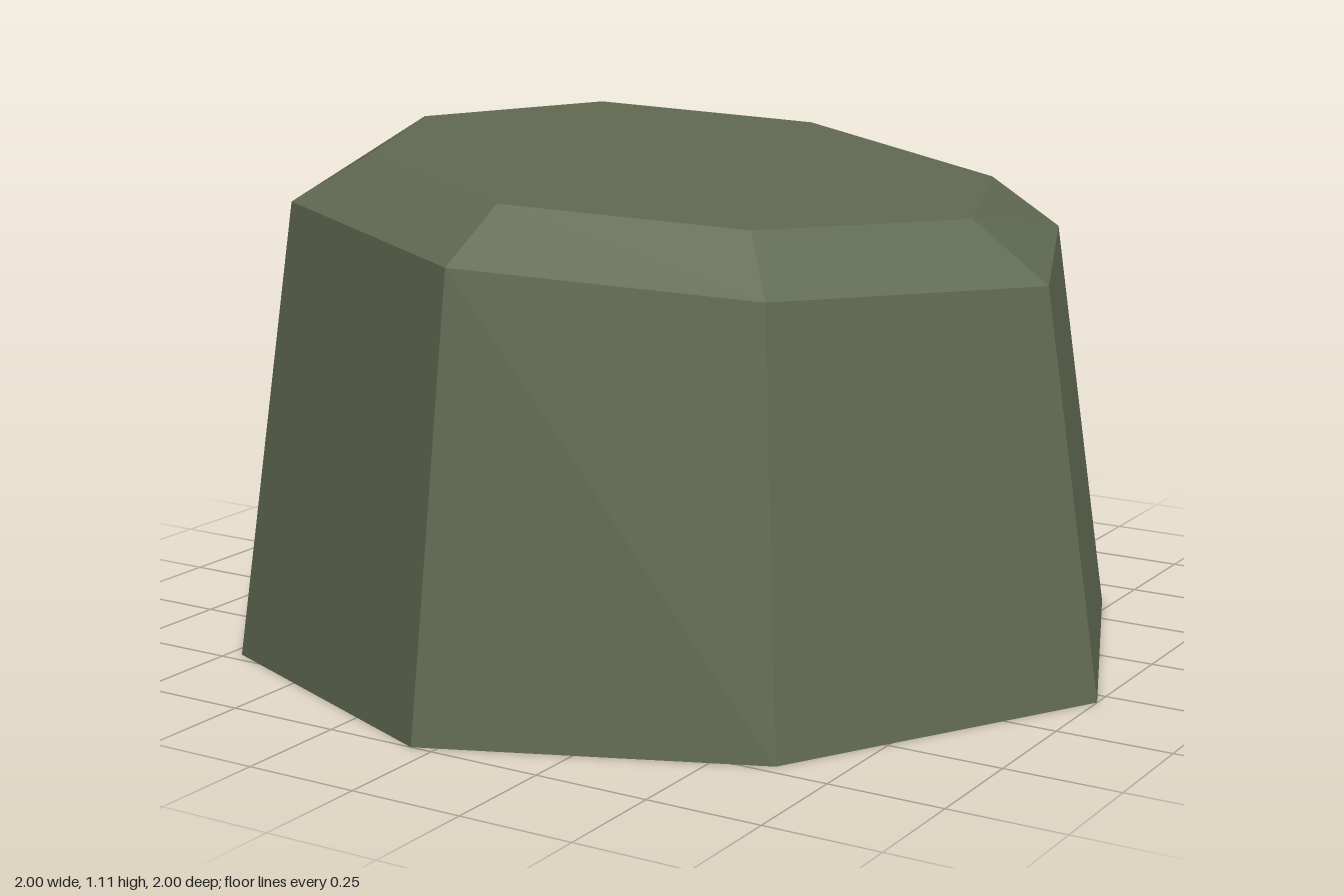
import * as THREE from 'three';

// Irregular eight-sided footprint (x, z), starting at +x and turning towards +z
const FOOTPRINT = [
  [1.0, 0.045], [0.62, 0.72], [-0.05, 1.0], [-0.72, 0.72],
  [-1.0, 0.045], [-0.82, -0.72], [-0.145, -1.0], [0.72, -0.63],
];

// Footprint scaled inwards, lying on a plane that tilts down towards +x
function ring(scaleX, scaleZ, height, slope) {
  return FOOTPRINT.map(([x, z]) => {
    const px = x * scaleX;
    return new THREE.Vector3(px, height - slope * px, z * scaleZ);
  });
}

function facetedMesh(name, triangles, material) {
  const geometry = new THREE.BufferGeometry().setFromPoints(triangles);
  geometry.computeVertexNormals();
  const mesh = new THREE.Mesh(geometry, material);
  mesh.name = name;
  return mesh;
}

// Band of quads joining two rings
function band(lower, upper) {
  const triangles = [];
  lower.forEach((a, i) => {
    const j = (i + 1) % lower.length;
    triangles.push(a, upper[i], upper[j], a, upper[j], lower[j]);
  });
  return triangles;
}

// Flat cap closing a ring
function cap(points, facesUp) {
  const triangles = [];
  for (let i = 1; i < points.length - 1; i++) {
    const [b, c] = facesUp ? [points[i + 1], points[i]] : [points[i], points[i + 1]];
    triangles.push(points[0], b, c);
  }
  return triangles;
}

export function createModel() {
  const group = new THREE.Group();
  group.name = 'rock';
  const stone = new THREE.MeshStandardMaterial({ color: 0x5f684f, flatShading: true });
  stone.name = 'mossy stone';

  const base = ring(1, 1, 0, 0);
  const shoulder = ring(0.863, 0.865, 0.938, 0.088);
  const rim = ring(0.7, 0.7, 1.043, 0.087);
  // Bring the +x and back rim corners to their own slight offsets
  rim[0].x = 0.685;
  rim[0].y = 0.984;
  rim[4].x = -0.71;
  rim[4].y = 1.105;

  group.add(
    facetedMesh('sides', band(base, shoulder), stone),
    facetedMesh('bevel', band(shoulder, rim), stone),
    facetedMesh('slopingTop', cap(rim, true), stone),
    facetedMesh('underside', cap(base, false), stone),
  );
  return group;
}
